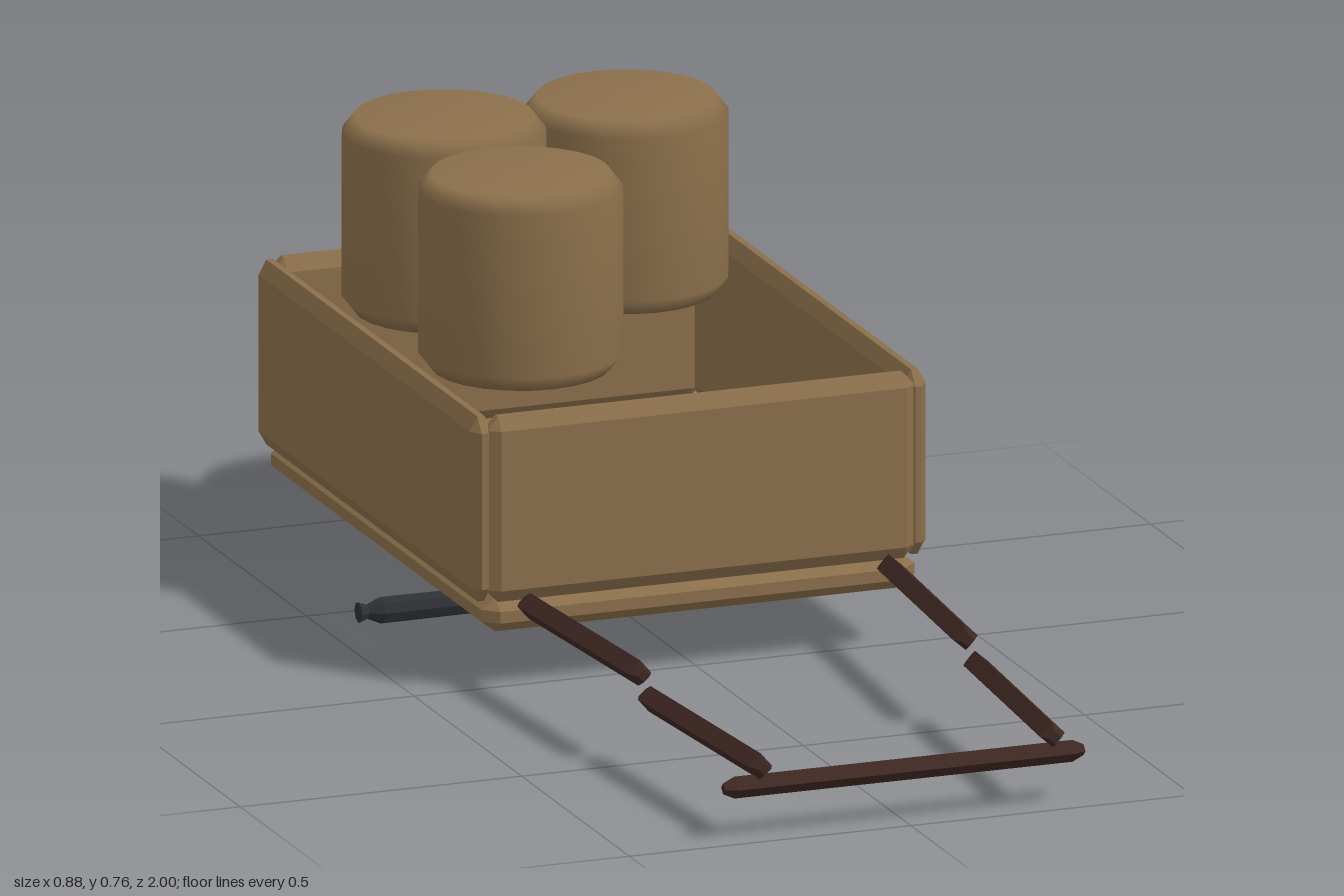
import * as THREE from 'three';
import { ConvexGeometry } from 'three/addons/geometries/ConvexGeometry.js';

const wood = new THREE.MeshStandardMaterial({ color: 0x8b6f4b });
wood.name = 'wood';
const darkWood = new THREE.MeshStandardMaterial({ color: 0x3e2723 });
darkWood.name = 'dark wood';
const iron = new THREE.MeshStandardMaterial({ color: 0x2d3034 });
iron.name = 'iron';

// Box between two corners with every edge chamfered, one chamfer size per axis
function chamferedBox(min, max, chamfer) {
  const points = [];
  for (const sx of [0, 1]) for (const sy of [0, 1]) for (const sz of [0, 1]) {
    const side = [sx, sy, sz];
    for (let face = 0; face < 3; face++) {
      const p = side.map((s, i) => {
        const inset = i === face ? 0 : chamfer[i];
        return s ? max[i] - inset : min[i] + inset;
      });
      points.push(new THREE.Vector3(...p));
    }
  }
  return new ConvexGeometry(points);
}

// Turned solid from [radius, height] pairs, listed from bottom to top
function turned(profile, sides, flat) {
  let geo = new THREE.LatheGeometry(profile.map(([r, y]) => new THREE.Vector2(r, y)), sides);
  if (flat) {
    geo = geo.toNonIndexed();
    geo.computeVertexNormals();
  }
  return geo;
}

export function createModel() {
  const model = new THREE.Group();
  model.name = 'handcart';

  const add = (name, geometry, material, parent = model) => {
    const mesh = new THREE.Mesh(geometry, material);
    mesh.name = name;
    parent.add(mesh);
    return mesh;
  };

  // Faceted pole with tapered ends between two points
  const pole = (name, from, to, radius) => {
    const a = new THREE.Vector3(...from);
    const b = new THREE.Vector3(...to);
    const h = a.distanceTo(b) / 2;
    const profile = [[0, -h], [radius * 0.5, -h], [radius, -h + 0.02],
      [radius, h - 0.02], [radius * 0.5, h], [0, h]];
    const mesh = add(name, turned(profile, 4, true), darkWood);
    mesh.position.copy(a).add(b).multiplyScalar(0.5);
    mesh.quaternion.setFromUnitVectors(new THREE.Vector3(0, 1, 0), b.sub(a).normalize());
  };

  // Cart bed
  add('floor', chamferedBox([-0.385, 0.1, -0.99], [0.385, 0.16, 0.035], [0.025, 0.02, 0.025]), wood);
  add('frontWall', chamferedBox([-0.38, 0.155, -0.005], [0.38, 0.475, 0.04], [0.02, 0.022, 0.015]), wood);
  add('backWall', chamferedBox([-0.38, 0.155, -1], [0.38, 0.475, -0.955], [0.02, 0.022, 0.015]), wood);
  for (const [name, x] of [['leftWall', 0.385], ['rightWall', -0.385]]) {
    add(name, chamferedBox([x - 0.02, 0.155, -0.99], [x + 0.02, 0.475, 0.03], [0.014, 0.025, 0.02]), wood);
  }

  // Three barrels in the bed
  const barrels = new THREE.Group();
  barrels.name = 'barrels';
  model.add(barrels);
  const barrelGeo = turned([[0, 0.43], [0.15, 0.43], [0.171, 0.457],
    [0.171, 0.738], [0.15, 0.765], [0, 0.765]], 24, false);
  [[-0.163, -0.74], [0.16, -0.74], [-0.163, -0.385]].forEach(([x, z], i) => {
    add('barrel' + (i + 1), barrelGeo, wood, barrels).position.set(x, 0, z);
  });

  // Pull handle: two pole sections a side and a crossbar
  for (const [side, s] of [['left', 1], ['right', -1]]) {
    pole(side + 'RearPole', [s * 0.321, 0.155, 0.045], [s * 0.288, 0.155, 0.515], 0.022);
    pole(side + 'FrontPole', [s * 0.291, 0.124, 0.525], [s * 0.258, 0.124, 0.998], 0.022);
  }
  pole('crossbar', [-0.32, 0.088, 0.965], [0.32, 0.088, 0.965], 0.019);

  // Axle with flared ends
  const axleProfile = [[0, -0.44], [0.018, -0.44], [0.012, -0.425], [0.023, -0.4], [0.021, 0],
    [0.023, 0.4], [0.012, 0.425], [0.018, 0.44], [0, 0.44]];
  const axle = add('axle', turned(axleProfile, 8, true), iron);
  axle.rotation.z = Math.PI / 2;
  axle.position.set(0, 0.023, -0.415);

  return model;
}
